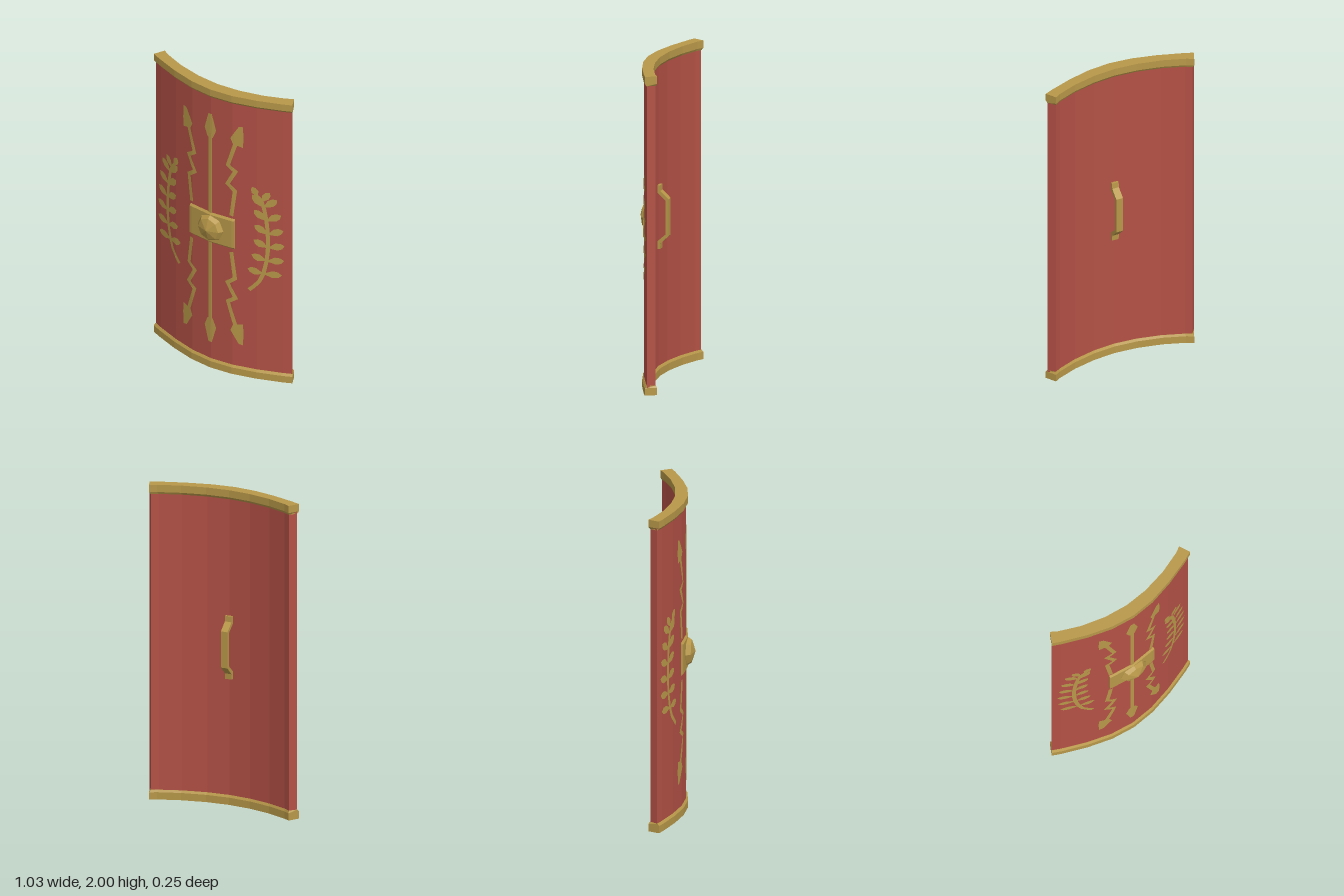
import * as THREE from 'three';

const V2 = (x, y) => new THREE.Vector2(x, y);

// Half of the curved plan section, from the centre line outwards: [x, z]
const FRONT = [[0, 0.078], [0.15, 0.063], [0.305, 0.022], [0.46, -0.035], [0.516, -0.06]];
const BACK = [[0, 0], [0.15, -0.013], [0.305, -0.05], [0.44, -0.103], [0.482, -0.128]];
const INSET = 0.012; // how far the panel sits inside the rims

const mirrored = (half) => [...half.slice(1).reverse().map(([x, z]) => [-x, z]), ...half];

// Height of the front curve at any x
function frontZ(x) {
  const a = Math.abs(x);
  let i = 1;
  while (i < FRONT.length - 1 && a > FRONT[i][0]) i++;
  const [x0, z0] = FRONT[i - 1], [x1, z1] = FRONT[i];
  return z0 + (z1 - z0) * (a - x0) / (x1 - x0);
}

function geometryFrom(positions) {
  const g = new THREE.BufferGeometry();
  g.setAttribute('position', new THREE.Float32BufferAttribute(positions, 3));
  g.computeVertexNormals();
  return g;
}

// Stack a curved section vertically; layers are [y, inset]
function loft(front, back, layers) {
  const pos = [];
  const n = front.length;
  const quad = (a, b, c, d) => pos.push(...a, ...b, ...c, ...a, ...c, ...d);
  const rings = layers.map(([y, inset]) => [
    ...front.map(([x, z]) => [x * (1 - inset), y, z - inset]),
    ...back.map(([x, z]) => [x * (1 - inset), y, z + inset]).reverse(),
  ]);
  for (let l = 0; l < rings.length - 1; l++) {
    for (let i = 0; i < 2 * n; i++) {
      const j = (i + 1) % (2 * n);
      quad(rings[l][i], rings[l][j], rings[l + 1][j], rings[l + 1][i]);
    }
  }
  const top = rings[rings.length - 1], bottom = rings[0];
  for (let i = 0; i < n - 1; i++) {
    const k = 2 * n - 1 - i;
    quad(top[i], top[i + 1], top[k - 1], top[k]);
    quad(bottom[k], bottom[k - 1], bottom[i + 1], bottom[i]);
  }
  return geometryFrom(pos);
}

// Outline of a stroke of even width along a path
function ribbon(path, width) {
  const left = [], right = [];
  path.forEach((p, i) => {
    const a = path[Math.max(i - 1, 0)], b = path[Math.min(i + 1, path.length - 1)];
    const t = b.clone().sub(a).normalize();
    const d0 = p.clone().sub(a), d1 = b.clone().sub(p);
    if (d0.length() && d1.length()) t.copy(d0.normalize().add(d1.normalize()).normalize());
    const seg = b.clone().sub(p).length() ? b.clone().sub(p).normalize() : p.clone().sub(a).normalize();
    const w = width / 2 / Math.max(0.55, Math.abs(seg.dot(t)));
    left.push(V2(p.x - t.y * w, p.y + t.x * w));
    right.push(V2(p.x + t.y * w, p.y - t.x * w));
  });
  return [...left, ...right.reverse()];
}

// Pointed oval leaf from base to tip
function leaf(base, tip, width) {
  const d = tip.clone().sub(base);
  const n = V2(-d.y, d.x).normalize();
  const at = (t, s) => base.clone().addScaledVector(d, t).addScaledVector(n, s * width / 2);
  return [base, at(0.2, 0.45), at(0.5, 1), at(0.8, 0.8), tip, at(0.8, -0.8), at(0.5, -1), at(0.2, -0.45)];
}

// Flat outlines of the painted emblem
function emblemOutlines() {
  const out = [];
  const add = (pts, sx, sy) => out.push(pts.map((p) => V2(p.x * sx - 0.006, 1 + (p.y - 1) * sy)));
  const pts = (list) => list.map(([x, y]) => V2(x, y));
  const bolt = ribbon(pts([[0.18, 1.67], [0.125, 1.49], [0.175, 1.455], [0.122, 1.355], [0.172, 1.315], [0.148, 1.13]]), 0.026);
  const boltHead = pts([[0.222, 1.785], [0.195, 1.78], [0.142, 1.69], [0.16, 1.65], [0.222, 1.635], [0.226, 1.7]]);
  const shaft = pts([[-0.013, 1.08], [0.013, 1.08], [0.013, 1.68], [-0.013, 1.68]]);
  const head = pts([[-0.013, 1.82], [-0.043, 1.71], [-0.02, 1.65], [0.02, 1.65], [0.043, 1.71], [0.013, 1.82]]);
  for (const sy of [1, -1]) {
    add(shaft, 1, sy);
    add(head, 1, sy);
    for (const sx of [1, -1]) {
      add(bolt, sx, sy);
      add(boltHead, sx, sy);
    }
  }
  // Laurel branches
  const stem = new THREE.SplineCurve(pts([[0.26, 0.625], [0.335, 0.72], [0.372, 0.9], [0.37, 1.1], [0.345, 1.25], [0.31, 1.31]]));
  const leaves = [[leaf(V2(0.315, 1.3), V2(0.28, 1.37), 0.045)]];
  for (let i = 0; i < 6; i++) {
    const base = stem.getPointAt(0.22 + i * 0.132);
    const lift = 0.005 + i * 0.012;
    const reach = 0.11 - i * 0.006;
    leaves.push([
      leaf(base, V2(base.x + reach, base.y + lift), 0.05),
      leaf(base, V2(base.x - reach * 0.88, base.y + lift + 0.015), 0.05),
    ]);
  }
  leaves.push([leaf(V2(0.335, 1.27), V2(0.385, 1.345), 0.045)]);
  for (const sx of [1, -1]) {
    add(ribbon(stem.getPoints(12), 0.024), sx, 1);
    leaves.flat().forEach((l) => add(l, sx, 1));
  }
  return out;
}

// Divide flat outlines finely and lay them on the curved panel
function wrapOnPanel(outlines) {
  const pos = [];
  const split = (a, b, c, depth) => {
    if (depth === 0) {
      for (const p of [a, b, c]) pos.push(p.x, p.y, frontZ(p.x / (1 - INSET)) - INSET + 0.004);
      return;
    }
    const mid = (p, q) => p.clone().add(q).multiplyScalar(0.5);
    const ab = mid(a, b), bc = mid(b, c), ca = mid(c, a);
    split(a, ab, ca, depth - 1);
    split(ab, b, bc, depth - 1);
    split(ca, bc, c, depth - 1);
    split(ab, bc, ca, depth - 1);
  };
  for (const o of outlines) {
    const g = new THREE.ShapeGeometry(new THREE.Shape(o)).toNonIndexed();
    const p = g.attributes.position;
    const v = (i) => V2(p.getX(i), p.getY(i));
    for (let i = 0; i < p.count; i += 3) split(v(i), v(i + 1), v(i + 2), 2);
  }
  return geometryFrom(pos);
}

export function createModel() {
  const red = new THREE.MeshStandardMaterial({ color: 0xb45146, flatShading: true });
  red.name = 'red paint';
  const gold = new THREE.MeshStandardMaterial({ color: 0xb89849, flatShading: true });
  gold.name = 'gold';

  const group = new THREE.Group();
  group.name = 'shield';
  const add = (name, geometry, material) => {
    const mesh = new THREE.Mesh(geometry, material);
    mesh.name = name;
    group.add(mesh);
    return mesh;
  };

  // Curved panel and its two rims
  const front = mirrored(FRONT), back = mirrored(BACK);
  add('panel', loft(front, back, [[0.03, INSET], [1.97, INSET]]), red);
  add('bottomRim', loft(front, back, [[0, 0], [0.046, 0], [0.06, INSET * 0.8]]), gold);
  add('topRim', loft(front, back, [[1.94, INSET * 0.8], [1.954, 0], [2, 0]]), gold);

  // Painted emblem
  add('emblem', wrapOnPanel(emblemOutlines()), gold);

  // Boss plate, bent with the panel, and faceted boss
  const plateX = [-0.165, -0.15, 0, 0.15, 0.165];
  const plateFront = plateX.map((x) => [x, frontZ(x)]);
  const plateBack = plateX.map((x) => [x, frontZ(x) - 0.03]);
  add('bossPlate', loft(plateFront, plateBack, [[0.895, 0.01], [0.907, 0], [1.098, 0], [1.11, 0.01]]), gold);
  const boss = add('boss', new THREE.LatheGeometry([V2(0.093, 0.06), V2(0.093, 0.073), V2(0.075, 0.1), V2(0, 0.125)], 8), gold);
  boss.rotation.x = Math.PI / 2;
  boss.position.y = 1.005;

  // Back handle: a strap with feet, drawn as (z, y) and extruded across x
  const half = [[0.015, 0.2], [-0.006, 0.2], [-0.008, 0.165], [-0.06, 0.115]];
  const inner = [[-0.042, 0.105], [0.015, 0.155]];
  const outline = [
    ...half, ...half.map(([z, y]) => [z, -y]).reverse(),
    ...inner.map(([z, y]) => [z, -y]).reverse(), ...inner,
  ];
  const handleGeo = new THREE.ExtrudeGeometry(new THREE.Shape(outline.map(([z, y]) => V2(z, y))), { depth: 0.046, bevelEnabled: false });
  handleGeo.translate(0, 0, -0.023).rotateY(-Math.PI / 2);
  const handle = add('handle', handleGeo, gold);
  handle.position.y = 1;

  return group;
}
